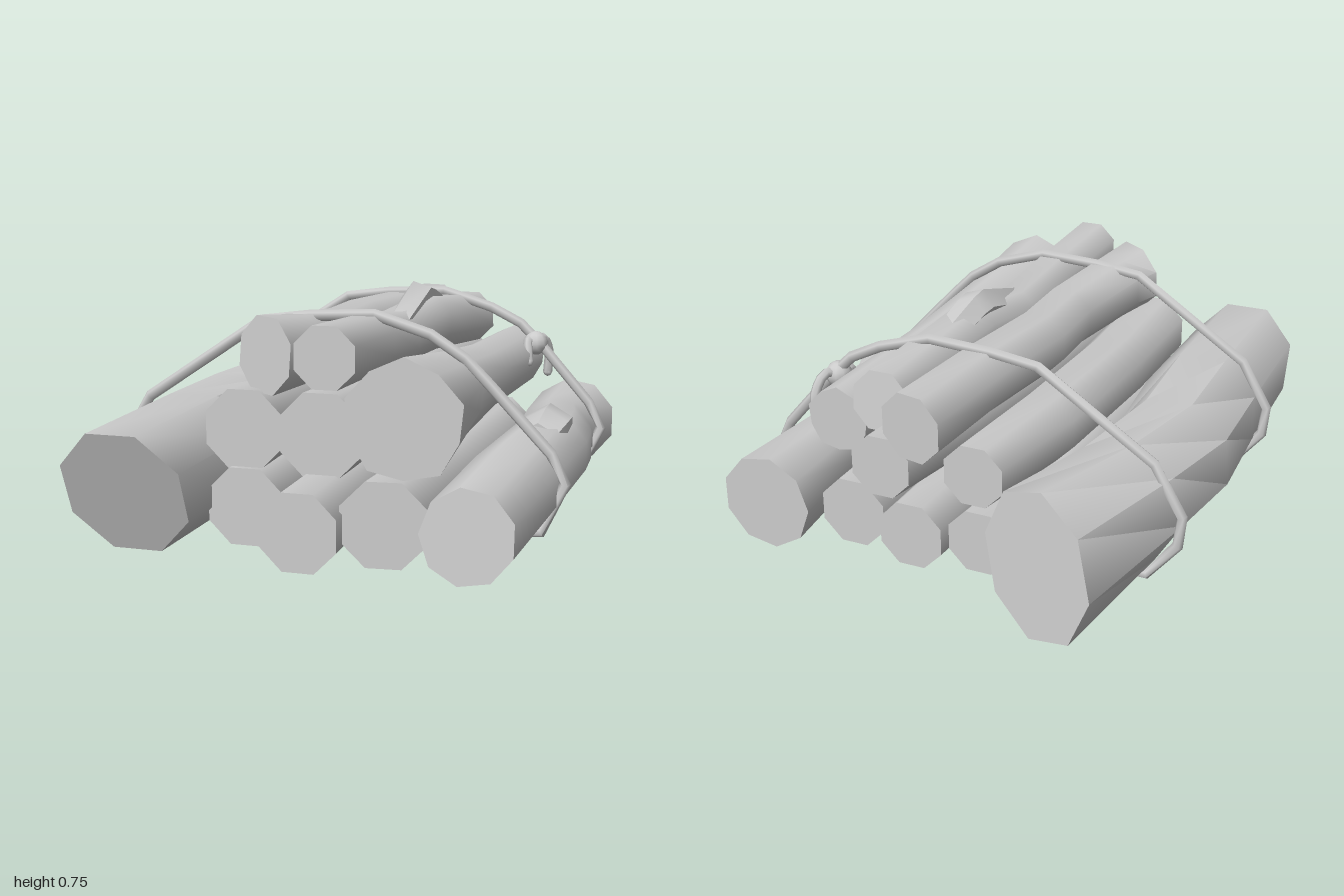
import * as THREE from 'three';
import { toCreasedNormals } from 'three/addons/utils/BufferGeometryUtils.js';

const material = new THREE.MeshStandardMaterial({ color: 0xcccccc });

// Skin a list of rings (equal point counts); either capped at both ends or joined into a loop
function loft(rings, closed = false, crease = 0.85) {
  const pos = [], n = rings[0].length;
  const tri = (...pts) => pts.forEach((p) => pos.push(p.x, p.y, p.z));
  const last = closed ? rings.length : rings.length - 1;
  for (let i = 0; i < last; i++) {
    const front = rings[i], back = rings[(i + 1) % rings.length];
    for (let k = 0; k < n; k++) {
      const m = (k + 1) % n;
      tri(front[k], back[k], front[m]);
      tri(front[m], back[k], back[m]);
    }
  }
  if (!closed) {
    const middle = (ring) => ring.reduce((s, p) => s.add(p), new THREE.Vector3()).divideScalar(n);
    const a = rings[0], b = rings[rings.length - 1], ca = middle(a), cb = middle(b);
    for (let k = 0; k < n; k++) {
      const m = (k + 1) % n;
      tri(ca, a[k], a[m]);
      tri(cb, b[m], b[k]);
    }
  }
  const g = new THREE.BufferGeometry();
  g.setAttribute('position', new THREE.Float32BufferAttribute(pos, 3));
  return toCreasedNormals(g, crease);
}

function addMesh(parent, name, geometry) {
  const mesh = new THREE.Mesh(geometry, material);
  mesh.name = name;
  parent.add(mesh);
  return mesh;
}

// Log: stations [z, x, y, radius, turn] from front to back; ends cut at a slope [dz/dx, dz/dy]
function logGeometry({ path, sides = 8, frontCut = [0, 0], backCut = [0, 0], lobes = 0 }) {
  const rings = path.map(([z, x, y, r, turn = 0.5], i) => {
    const cut = i === 0 ? frontCut : i === path.length - 1 ? backCut : [0, 0];
    return Array.from({ length: sides }, (_, k) => {
      const t = ((k + turn) / sides) * Math.PI * 2;
      const s = r * (1 + lobes * (k % 2 ? -1 : 1));
      const dx = Math.cos(t) * s, dy = Math.sin(t) * s;
      return new THREE.Vector3(x + dx, y + dy, z + cut[0] * dx + cut[1] * dy);
    });
  });
  return loft(rings);
}

const logs = {
  thickLog: {
    frontCut: [0, 0.4], backCut: [0.55, 0.2],
    path: [[0.925, -0.49, 0.2, 0.207], [0.4, -0.5, 0.205, 0.215], [0, -0.53, 0.205, 0.21, 0.4],
      [-0.4, -0.5, 0.215, 0.21, 0.2], [-0.88, -0.425, 0.23, 0.216, 0]],
  },
  bottomLogOne: {
    path: [[0.72, -0.19, 0.13, 0.13], [0.2, -0.2, 0.14, 0.125], [-0.3, -0.19, 0.135, 0.12], [-0.69, -0.15, 0.14, 0.11]],
  },
  bottomLogTwo: {
    path: [[0.92, 0.05, 0.122, 0.127], [0.3, 0.04, 0.135, 0.12], [-0.3, 0.07, 0.13, 0.12], [-0.72, 0.07, 0.13, 0.115]],
  },
  bottomLogThree: {
    frontCut: [-0.1, 0], path: [[0.85, 0.285, 0.145, 0.138], [0.2, 0.3, 0.145, 0.13], [-0.68, 0.3, 0.14, 0.12]],
  },
  sideLog: {
    sides: 9, frontCut: [0, -0.1],
    path: [[0.915, 0.545, 0.15, 0.14], [0.45, 0.575, 0.18, 0.146], [0.05, 0.61, 0.205, 0.14],
      [-0.12, 0.605, 0.205, 0.137], [-0.38, 0.565, 0.18, 0.133], [-0.77, 0.57, 0.16, 0.16]],
  },
  middleLogOne: {
    path: [[0.7, -0.2, 0.365, 0.133], [0.25, -0.21, 0.365, 0.125], [-0.3, -0.19, 0.37, 0.12], [-0.7, -0.14, 0.37, 0.105]],
  },
  middleLogTwo: {
    path: [[0.7, 0.045, 0.36, 0.14], [0.1, 0.06, 0.36, 0.125], [-0.4, 0.09, 0.38, 0.115], [-0.8, 0.12, 0.395, 0.105]],
  },
  middleLogThree: {
    sides: 10, lobes: 0.035,
    path: [[0.82, 0.335, 0.445, 0.178], [0.4, 0.34, 0.445, 0.135], [0, 0.355, 0.44, 0.11], [-0.63, 0.37, 0.43, 0.108]],
  },
  topLogOne: {
    frontCut: [0.75, -0.2], backCut: [0.2, 0],
    path: [[0.66, -0.145, 0.59, 0.122], [0.48, -0.115, 0.585, 0.115], [0.15, -0.07, 0.575, 0.108],
      [-0.1, -0.08, 0.575, 0.108], [-0.45, -0.035, 0.57, 0.108], [-0.83, -0.005, 0.56, 0.112]],
  },
  topLogTwo: {
    backCut: [0, 0.12],
    path: [[0.82, 0.1, 0.615, 0.1], [0.4, 0.1, 0.6, 0.096], [0.1, 0.1, 0.58, 0.094],
      [-0.15, 0.14, 0.6, 0.1], [-0.4, 0.16, 0.58, 0.096], [-0.7, 0.17, 0.56, 0.1]],
  },
  // Bumps left by broken branches
  sideStub: {
    sides: 6, path: [[0.22, 0.61, 0.27, 0.07], [0.14, 0.62, 0.29, 0.085], [0.05, 0.62, 0.29, 0.085], [-0.04, 0.61, 0.27, 0.07]],
  },
  topStub: {
    sides: 5, path: [[0.14, 0.12, 0.615, 0.05], [-0.13, 0.118, 0.69, 0.058], [-0.18, 0.125, 0.68, 0.055], [-0.32, 0.15, 0.62, 0.05]],
  },
};

// Rope loop outline around the bundle (x, y), clockwise from the front
const ropeOutline = [
  [-0.64, 0.4], [-0.24, 0.665], [-0.08, 0.685], [0.13, 0.695], [0.31, 0.64], [0.42, 0.57], [0.5, 0.49],
  [0.69, 0.29], [0.735, 0.2], [0.665, 0.045], [0.4, 0.025], [0.05, 0.018], [-0.63, 0.018], [-0.725, 0.14], [-0.735, 0.24],
];

// Tuck pulls the loop in at its sides and top
function ropeGeometry(z, tuck, radius = 0.018) {
  const loop = ropeOutline.map(([x, y]) => new THREE.Vector2(
    Math.abs(x) > 0.6 ? x - Math.sign(x) * tuck : x, y > 0.6 ? y - tuck : y));
  const n = loop.length;
  const rings = loop.map((p, i) => {
    const d = loop[(i + 1) % n].clone().sub(loop[(i + n - 1) % n]).normalize();
    return Array.from({ length: 6 }, (_, k) => {
      const t = (k / 6) * Math.PI * 2, out = Math.cos(t) * radius;
      return new THREE.Vector3(p.x - d.y * out, p.y + d.x * out, z - Math.sin(t) * radius);
    });
  });
  return loft(rings, true, 1.1);
}

export function createModel() {
  const model = new THREE.Group();
  model.name = 'firewoodBundle';

  // Stacked logs
  const stack = new THREE.Group();
  stack.name = 'logs';
  model.add(stack);
  for (const [name, spec] of Object.entries(logs)) addMesh(stack, name, logGeometry(spec));

  // Binding ropes
  addMesh(model, 'frontRope', ropeGeometry(0.43, 0));
  addMesh(model, 'backRope', ropeGeometry(-0.45, 0.015));

  // Knot with two loose ends
  const knot = new THREE.Group();
  knot.name = 'knot';
  knot.position.set(0.475, 0.5, -0.447);
  model.add(knot);
  addMesh(knot, 'knotBall', new THREE.SphereGeometry(0.044, 10, 8));
  const tails = [
    [[0, 0, 0], [0.02, 0.015, -0.05], [0.035, -0.04, -0.09], [0.03, -0.12, -0.1]],
    [[0, 0, 0], [-0.02, 0.01, 0.04], [-0.015, -0.02, 0.06], [-0.01, -0.06, 0.07]],
  ];
  for (const pts of tails) {
    const curve = new THREE.CatmullRomCurve3(pts.map((p) => new THREE.Vector3(...p)));
    addMesh(knot, 'looseEnd', new THREE.TubeGeometry(curve, 8, 0.017, 6));
    const tip = addMesh(knot, 'looseEndTip', new THREE.SphereGeometry(0.017, 6, 4));
    tip.position.set(...pts[3]);
  }
  return model;
}
